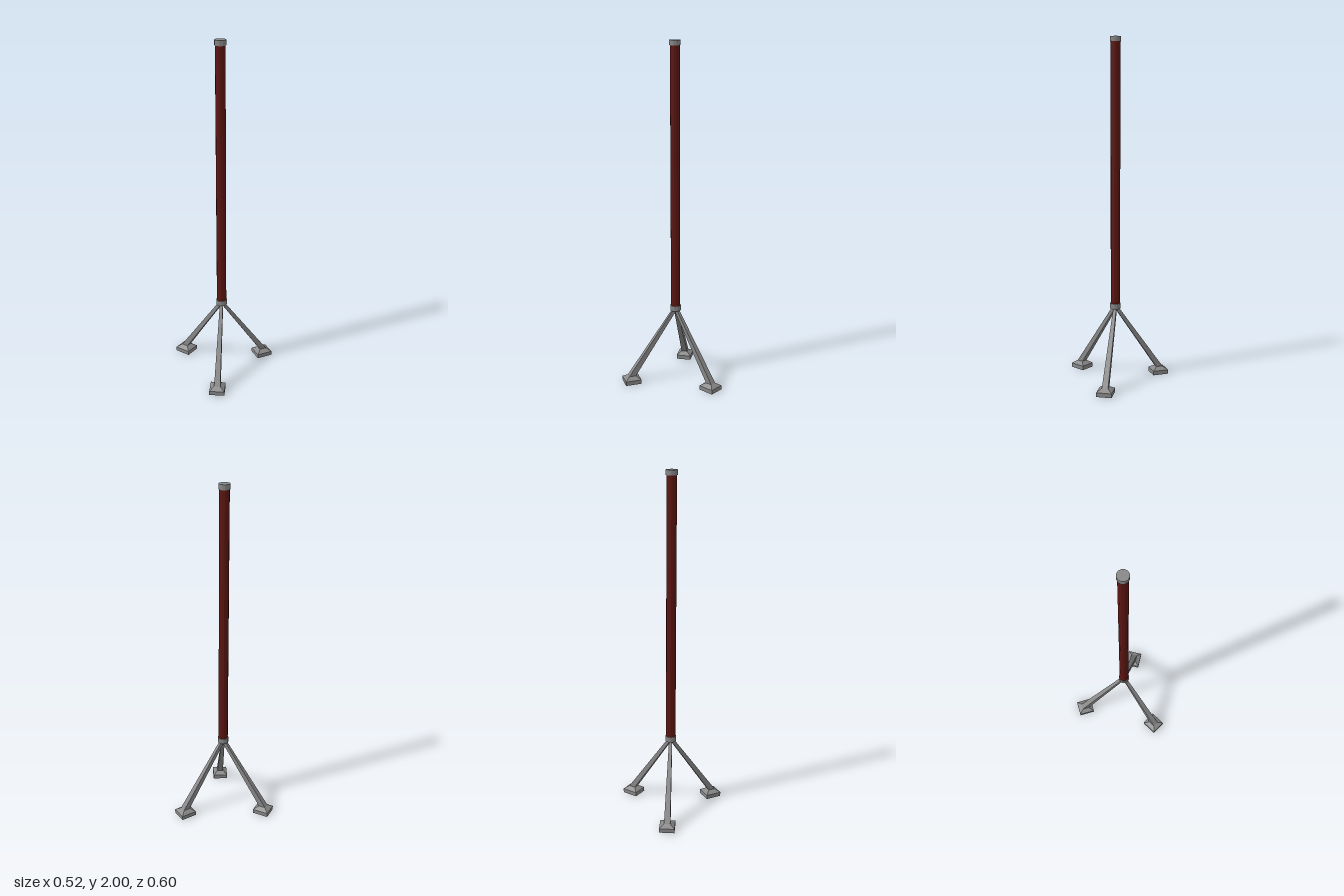
import * as THREE from 'three';

const metal = new THREE.MeshStandardMaterial({ color: 0x888888, flatShading: true });
const red = new THREE.MeshStandardMaterial({ color: 0x5c1612, flatShading: true });

// Closed solid lofted through rectangles [y, xInner, xOuter, halfWidth], bottom to top
function loftRects(sections) {
  const pos = [], index = [];
  for (const [y, x0, x1, w] of sections) pos.push(x0, y, w, x1, y, w, x1, y, -w, x0, y, -w);
  const quad = (a, b, c, d) => index.push(a, b, c, a, c, d);
  for (let s = 0; s < sections.length - 1; s++) {
    for (let i = 0; i < 4; i++) {
      const a = s * 4 + i, b = s * 4 + (i + 1) % 4;
      quad(a, b, b + 4, a + 4);
    }
  }
  const t = (sections.length - 1) * 4;
  quad(3, 2, 1, 0);
  quad(t, t + 1, t + 2, t + 3);
  const g = new THREE.BufferGeometry();
  g.setAttribute('position', new THREE.Float32BufferAttribute(pos, 3));
  g.setIndex(index);
  const flat = g.toNonIndexed();
  flat.computeVertexNormals();
  return flat;
}

function addMesh(parent, name, geometry, material) {
  const mesh = new THREE.Mesh(geometry, material);
  mesh.name = name;
  parent.add(mesh);
  return mesh;
}

// Upright twelve-sided cylinder between two heights
function addTube(parent, name, radius, y0, y1, material) {
  const g = new THREE.CylinderGeometry(radius, radius, y1 - y0, 12);
  addMesh(parent, name, g, material).position.y = (y0 + y1) / 2;
}

export function createModel() {
  const model = new THREE.Group();
  model.name = 'tripodPole';

  // The pole axis sits off centre, so that the three feet are centred
  const stand = new THREE.Group();
  stand.name = 'stand';
  stand.position.x = -0.0625;
  model.add(stand);

  // Pole with a collar at each end
  addTube(stand, 'pole', 0.028, 0.45, 1.98, red);
  addTube(stand, 'topCap', 0.032, 1.971, 2, metal);
  addTube(stand, 'lowerCollar', 0.032, 0.428, 0.459, metal);

  // Three splayed legs, each on a bevelled foot
  const footGeometry = loftRects([
    [0, 0.228, 0.323, 0.044],
    [0.025, 0.228, 0.323, 0.044],
    [0.043, 0.256, 0.296, 0.018],
  ]);
  const legGeometry = loftRects([
    [0.043, 0.256, 0.296, 0.018],
    [0.437, -0.009, 0.015, 0.009],
  ]);
  for (let i = 0; i < 3; i++) {
    const leg = new THREE.Group();
    leg.name = 'legAssembly' + (i + 1);
    leg.rotation.y = (i * Math.PI * 2) / 3;
    addMesh(leg, 'foot', footGeometry, metal);
    addMesh(leg, 'leg', legGeometry, metal);
    stand.add(leg);
  }
  return model;
}
